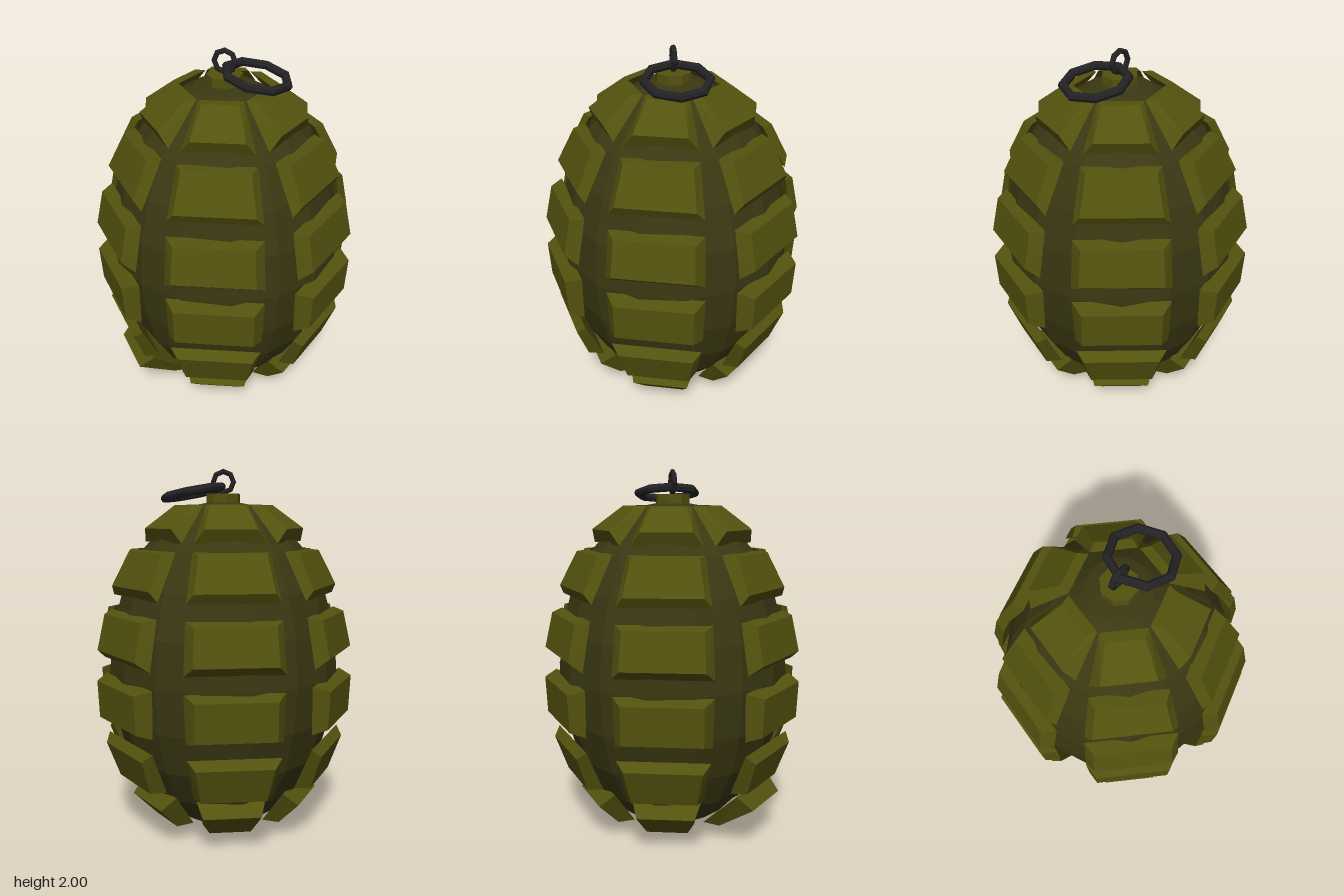
import * as THREE from 'three';

const mat = (name, color) => {
  const m = new THREE.MeshStandardMaterial({ color, flatShading: true });
  m.name = name;
  return m;
};

// Each row lists four edges as [radius, height, half width]:
// base top, base bottom, face top, face bottom
const ROWS = [
  [[0.20, 1.81, 0.11], [0.38, 1.62, 0.18], [0.25, 1.81, 0.09], [0.41, 1.69, 0.13]],
  [[0.42, 1.58, 0.19], [0.55, 1.345, 0.23], [0.488, 1.575, 0.165], [0.578, 1.395, 0.195]],
  [[0.56, 1.265, 0.235], [0.61, 1.01, 0.247], [0.627, 1.25, 0.195], [0.67, 1.06, 0.205]],
  [[0.60, 0.92, 0.248], [0.60, 0.67, 0.24], [0.68, 0.895, 0.20], [0.672, 0.695, 0.20]],
  [[0.60, 0.59, 0.235], [0.50, 0.355, 0.20], [0.64, 0.545, 0.195], [0.577, 0.355, 0.165]],
  [[0.43, 0.30, 0.18], [0.30, 0.11, 0.14], [0.508, 0.235, 0.15], [0.385, 0.10, 0.11]],
];

// Bevelled block facing +z, made from its four horizontal edges
function blockGeometry(edges) {
  const points = edges.flatMap(([r, y, w]) => [-w, y, r, w, y, r]);
  const quads = [
    [4, 6, 7, 5], // face
    [0, 1, 3, 2], // back
    [0, 4, 5, 1], // top
    [2, 3, 7, 6], // bottom
    [0, 2, 6, 4], // right side
    [1, 5, 7, 3], // left side
  ];
  const g = new THREE.BufferGeometry();
  g.setAttribute('position', new THREE.Float32BufferAttribute(points, 3));
  g.setIndex(quads.flatMap(([a, b, c, d]) => [a, b, c, a, c, d]));
  const flat = g.toNonIndexed();
  flat.computeVertexNormals();
  return flat;
}

export function createModel() {
  const group = new THREE.Group();
  const blockOlive = mat('olive', 0x54520e);
  const bodyOlive = mat('dark olive', 0x3a3712);
  const metal = mat('dark metal', 0x222225);

  const add = (parent, name, geometry, material) => {
    const mesh = new THREE.Mesh(geometry, material);
    mesh.name = name;
    parent.add(mesh);
    return mesh;
  };

  // Egg-shaped body
  const body = add(group, 'body', new THREE.SphereGeometry(1, 16, 12), bodyOlive);
  body.scale.set(0.63, 0.918, 0.63);
  body.position.y = 0.922;

  // Six columns of raised blocks
  for (let k = 0; k < 6; k++) {
    const column = new THREE.Group();
    column.name = 'blockColumn';
    column.rotation.y = THREE.MathUtils.degToRad(15 + 60 * k);
    ROWS.forEach((row, i) => {
      // One bottom block leans outward at its top
      const leans = k === 5 && i === 5;
      const edges = row.map(([r, y, w], e) =>
        leans && e % 2 === 0 ? [r + 0.1, y + 0.03, w] : [r, y, w]);
      add(column, 'block', blockGeometry(edges), blockOlive);
    });
    group.add(column);
  }

  // Octagonal cap
  const cap = add(group, 'cap', new THREE.CylinderGeometry(0.092, 0.092, 0.07, 8), blockOlive);
  cap.rotation.y = Math.PI / 8;
  cap.position.y = 1.835;

  // Upright loop and the ring hanging through it
  const loop = add(group, 'loop', new THREE.TorusGeometry(0.055, 0.014, 8, 8), metal);
  loop.position.y = 1.931;

  const ring = add(group, 'ring', new THREE.TorusGeometry(0.16, 0.023, 8, 8).rotateX(Math.PI / 2), metal);
  ring.rotation.z = -0.19;
  ring.position.set(0.166, 1.877, 0);

  return group;
}
